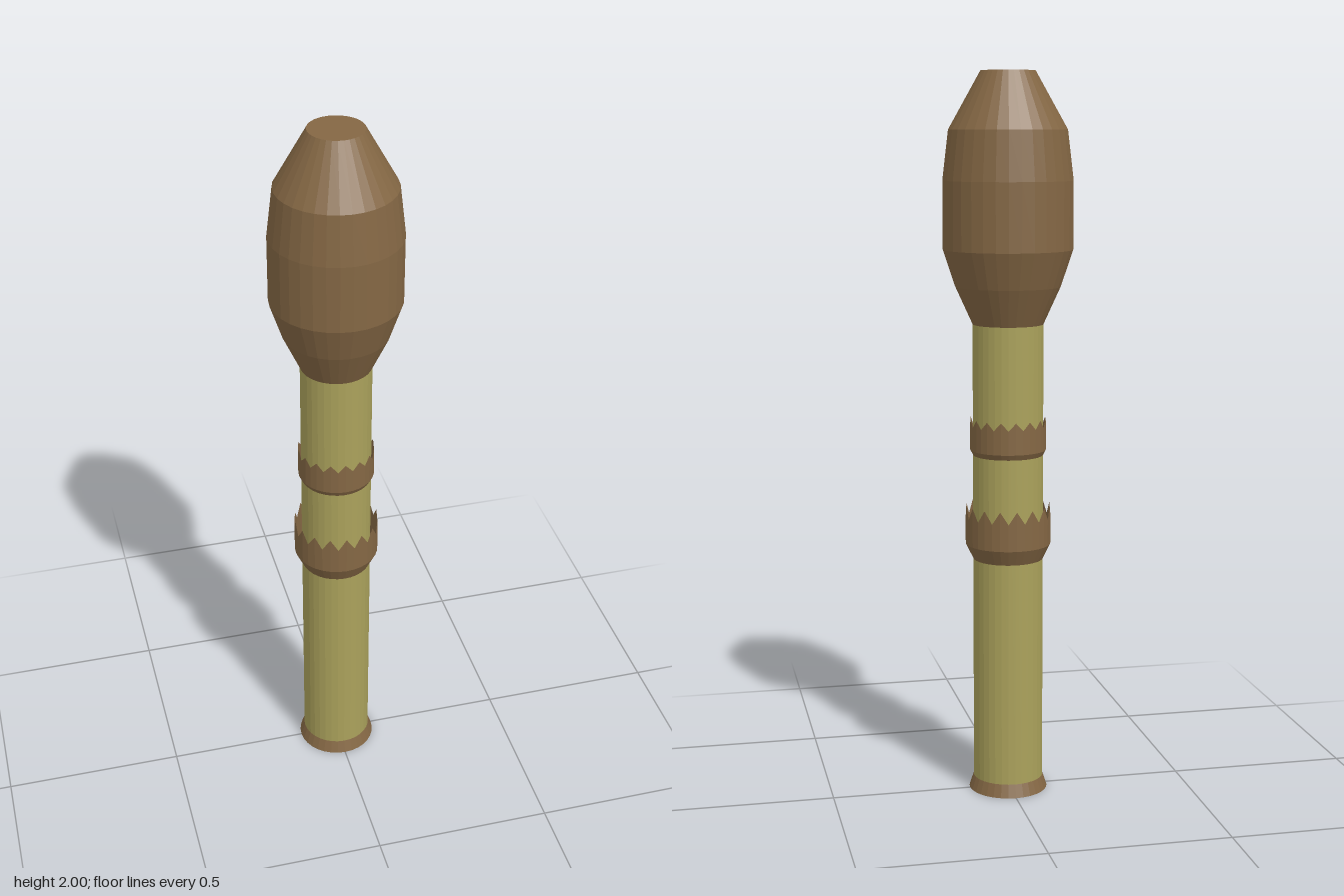
import * as THREE from 'three';

const SIDES = 32;
const brown = new THREE.MeshStandardMaterial({ color: 0x846744, side: THREE.DoubleSide });
brown.name = 'brown';
const green = new THREE.MeshStandardMaterial({ color: 0xaaa15b });
green.name = 'olive green';

// Faceted turned part from [radius, y] points, bottom to top.
// toothDepth lowers every second point of the top rim.
function turned(name, profile, material, toothDepth = 0) {
  const points = profile.map(([r, y]) => new THREE.Vector2(r, y));
  const lathe = new THREE.LatheGeometry(points, SIDES);
  const pos = lathe.attributes.position;
  if (toothDepth) {
    for (let i = 1; i <= SIDES; i += 2) {
      const top = i * profile.length + profile.length - 1;
      pos.setY(top, pos.getY(top) - toothDepth);
    }
  }
  const geometry = lathe.toNonIndexed();
  geometry.computeVertexNormals();
  const mesh = new THREE.Mesh(geometry, material);
  mesh.name = name;
  return mesh;
}

export function createModel() {
  const group = new THREE.Group();
  group.name = 'horsetailShoot';
  group.add(
    // Flared foot, closed below
    turned('foot', [[0, 0], [0.11, 0], [0.098, 0.036]], brown),
    turned('stem', [[0.097, 0.03], [0.097, 1.33]], green),
    // Open sheaths with toothed rims
    turned('lowerSheath', [[0.097, 0.667], [0.118, 0.71], [0.118, 0.82]], brown, 0.035),
    turned('upperSheath', [[0.097, 0.96], [0.105, 0.975], [0.105, 1.063]], brown, 0.022),
    // Spore cone with a flat tip
    turned('cone', [[0.097, 1.322], [0.144, 1.425], [0.162, 1.425 + 0.045], [0.177, 1.525],
      [0.177, 1.71], [0.161, 1.845], [0.074, 2], [0, 2]].filter((_, i) => i !== 2), brown),
  );
  return group;
}
